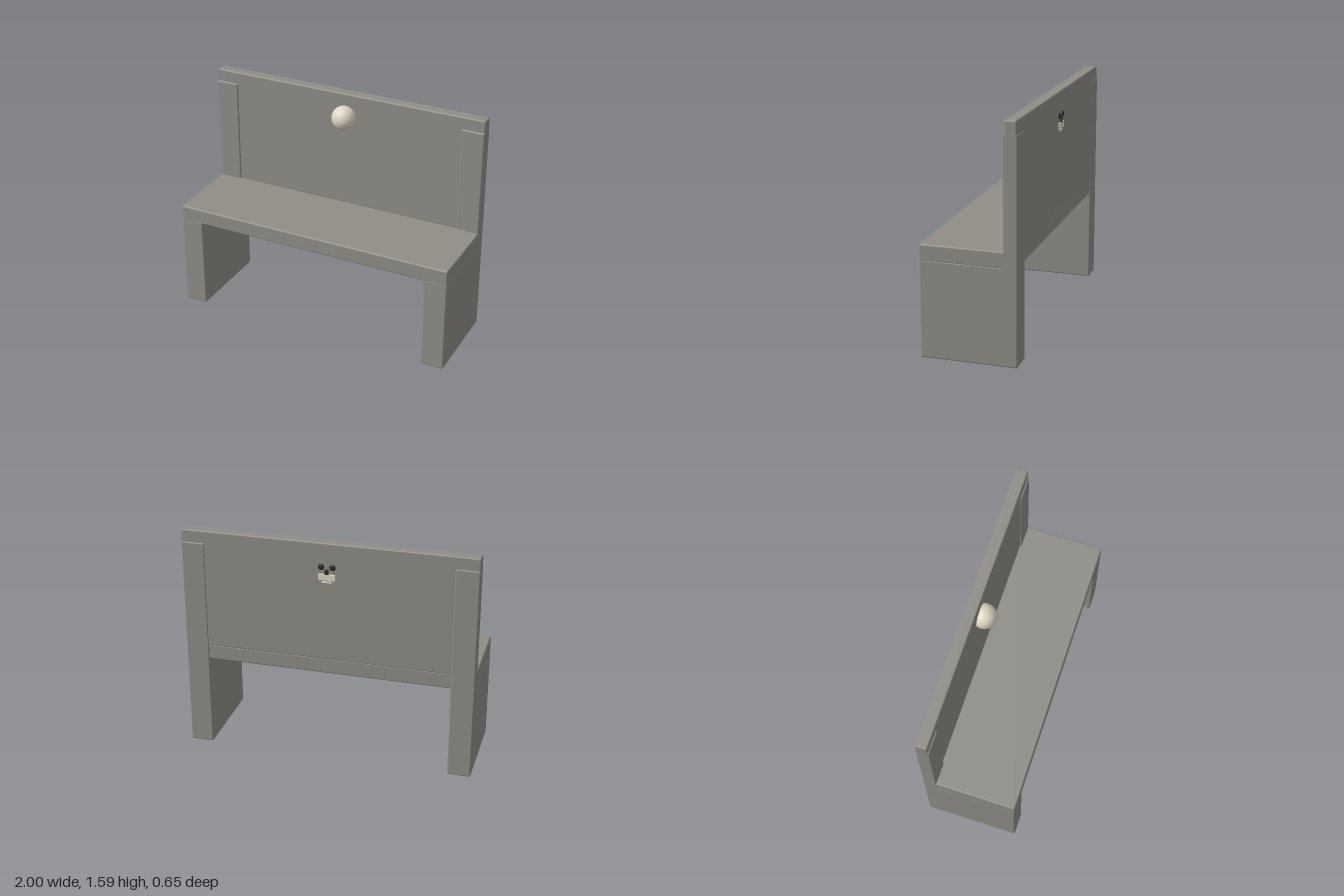
import * as THREE from 'three';
import { RoundedBoxGeometry } from 'three/addons/geometries/RoundedBoxGeometry.js';

const stone = new THREE.MeshStandardMaterial({ color: 0x8f8d86 });
const ivory = new THREE.MeshStandardMaterial({ color: 0xddd6c2 });
const dark = new THREE.MeshStandardMaterial({ color: 0x2b2b2b });

// Softly bevelled block given by its extents on each axis
function block(name, [x0, x1], [y0, y1], [z0, z1], material = stone, bevel = 0.01) {
  const geometry = new RoundedBoxGeometry(x1 - x0, y1 - y0, z1 - z0, 2, bevel);
  const mesh = new THREE.Mesh(geometry, material);
  mesh.name = name;
  mesh.position.set((x0 + x1) / 2, (y0 + y1) / 2, (z0 + z1) / 2);
  return mesh;
}

function ball(name, radius, x, y, z, material, segments) {
  const mesh = new THREE.Mesh(new THREE.SphereGeometry(radius, segments, segments / 2), material);
  mesh.name = name;
  mesh.position.set(x, y, z);
  return mesh;
}

export function createModel() {
  const bench = new THREE.Group();
  bench.name = 'bench';

  // Side supports: a deep leg slab with a tall post behind it
  for (const [side, x] of [['left', [0.84, 1]], ['right', [-1, -0.84]]]) {
    const support = new THREE.Group();
    support.name = side + 'Support';
    support.add(
      block('leg', x, [0, 0.657], [-0.32, 0.325]),
      block('post', x, [0, 1.5], [-0.32, -0.225])
    );
    bench.add(support);
  }

  // Seat and backrest
  bench.add(
    block('seat', [-1, 1], [0.65, 0.76], [-0.312, 0.325]),
    block('backrest', [-1, 1], [0.755, 1.585], [-0.315, -0.235])
  );

  // Round knob on the front of the backrest
  bench.add(ball('knob', 0.085, 0, 1.42, -0.205, ivory, 20));

  // Small face on the rear of the backrest
  const face = new THREE.Group();
  face.name = 'rearFace';
  for (const s of [-1, 1]) {
    const eye = ball('eye', 0.022, s * 0.038, 1.42, -0.315, dark, 16);
    eye.scale.z = 0.45;
    face.add(eye);
  }
  face.add(
    block('nose', [-0.013, 0.013], [1.37, 1.405], [-0.325, -0.305], dark, 0.003),
    block('mouth', [-0.058, 0.058], [1.328, 1.373], [-0.322, -0.305], ivory, 0.003),
    block('lip', [-0.035, 0.035], [1.308, 1.322], [-0.319, -0.305], ivory, 0.003)
  );
  bench.add(face);

  return bench;
}
